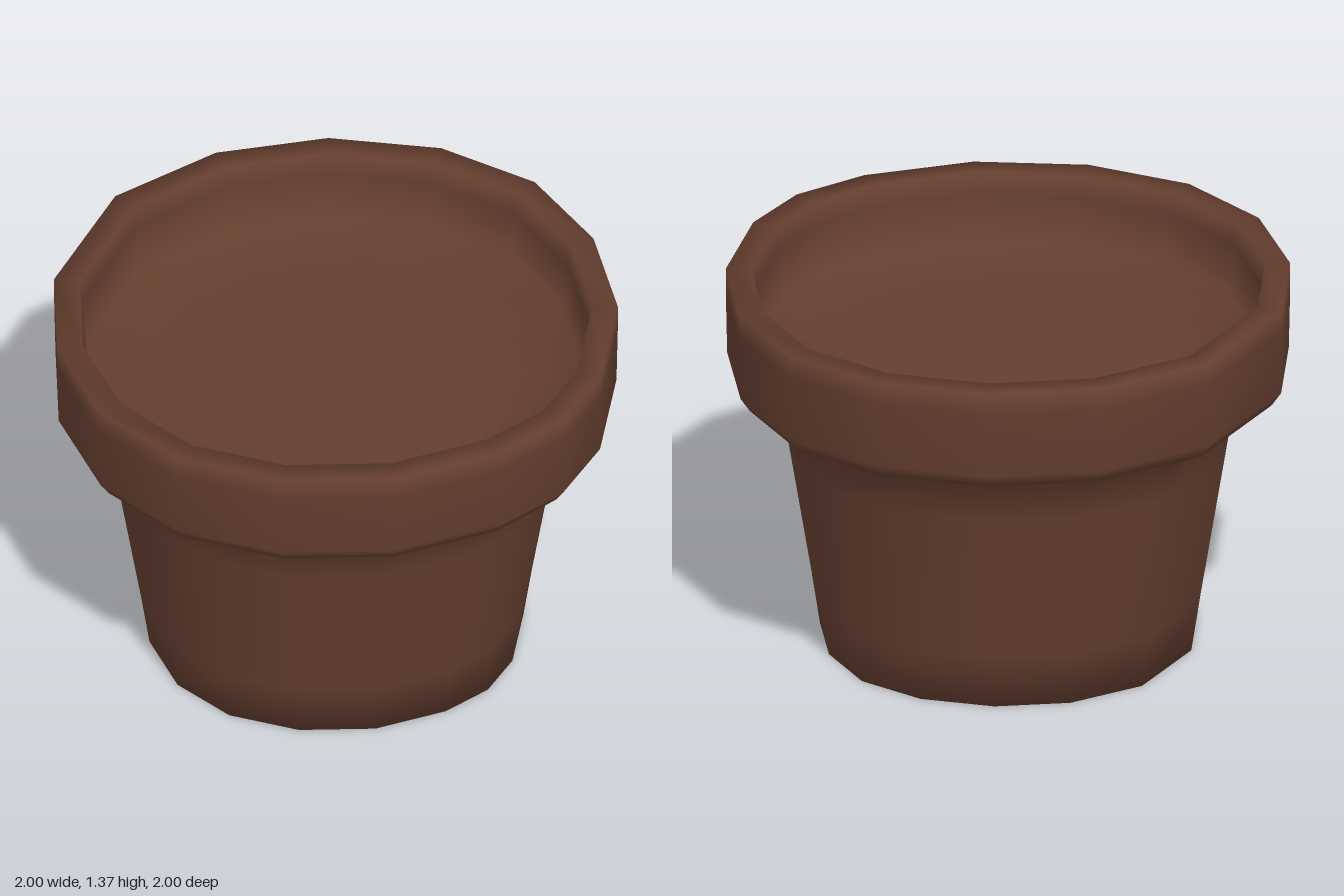
import * as THREE from 'three';

// Corners [x, z] of the hand-cut outline at the collar, running from +x towards +z
const OUTLINE = [
  [1, 0.1], [0.893, 0.497], [0.733, 0.733], [0.49, 0.893], [0.1, 1], [-0.305, 0.963], [-0.658, 0.79], [-0.898, 0.492],
  [-1, 0.1], [-0.963, -0.3], [-0.69, -0.754], [-0.305, -0.963], [0.1, -1], [0.49, -0.893], [0.795, -0.657], [0.962, -0.305],
];

// Sweeps a [scale, y] profile, starting and ending on the axis, around the outline
function sweep(profile) {
  const n = OUTLINE.length, last = profile.length - 1, pos = [], index = [];
  for (const [s, y] of profile) {
    for (const [x, z] of OUTLINE) pos.push(x * s, y, z * s);
  }
  for (let j = 0; j < last; j++) {
    for (let i = 0; i < n; i++) {
      const k = (i + 1) % n;
      const a = j * n + i, b = a + n, c = j * n + k, d = c + n;
      if (j > 0) index.push(a, b, c);
      if (j < last - 1) index.push(b, d, c);
      else continue;
    }
  }
  const geo = new THREE.BufferGeometry();
  geo.setAttribute('position', new THREE.Float32BufferAttribute(pos, 3));
  geo.setIndex(index);
  geo.computeVertexNormals();
  // Points gathered on the axis face straight down and straight up
  for (let i = 0; i < n; i++) {
    geo.attributes.normal.setXYZ(i, 0, -1, 0);
    geo.attributes.normal.setXYZ(last * n + i, 0, 1, 0);
  }
  return geo;
}

export function createModel() {
  const terracotta = new THREE.MeshStandardMaterial({ color: 0x643e2f });
  terracotta.name = 'brown terracotta';
  const group = new THREE.Group();
  group.name = 'flowerPot';

  const pot = new THREE.Mesh(sweep([
    // flat base
    [0, 0], [0.45, 0], [0.667, 0],
    // tapered body
    [0.697, 0.2], [0.79, 0.77], [0.821, 0.965],
    // collar
    [0.96, 0.988], [0.995, 1.04], [1, 1.28], [1, 1.365],
    // lip and inner wall
    [0.91, 1.365], [0.9, 1.28], [0.88, 1.1],
    // filling
    [0.6, 1.09], [0, 1.09],
  ]), terracotta);
  pot.name = 'pot';
  group.add(pot);
  return group;
}
